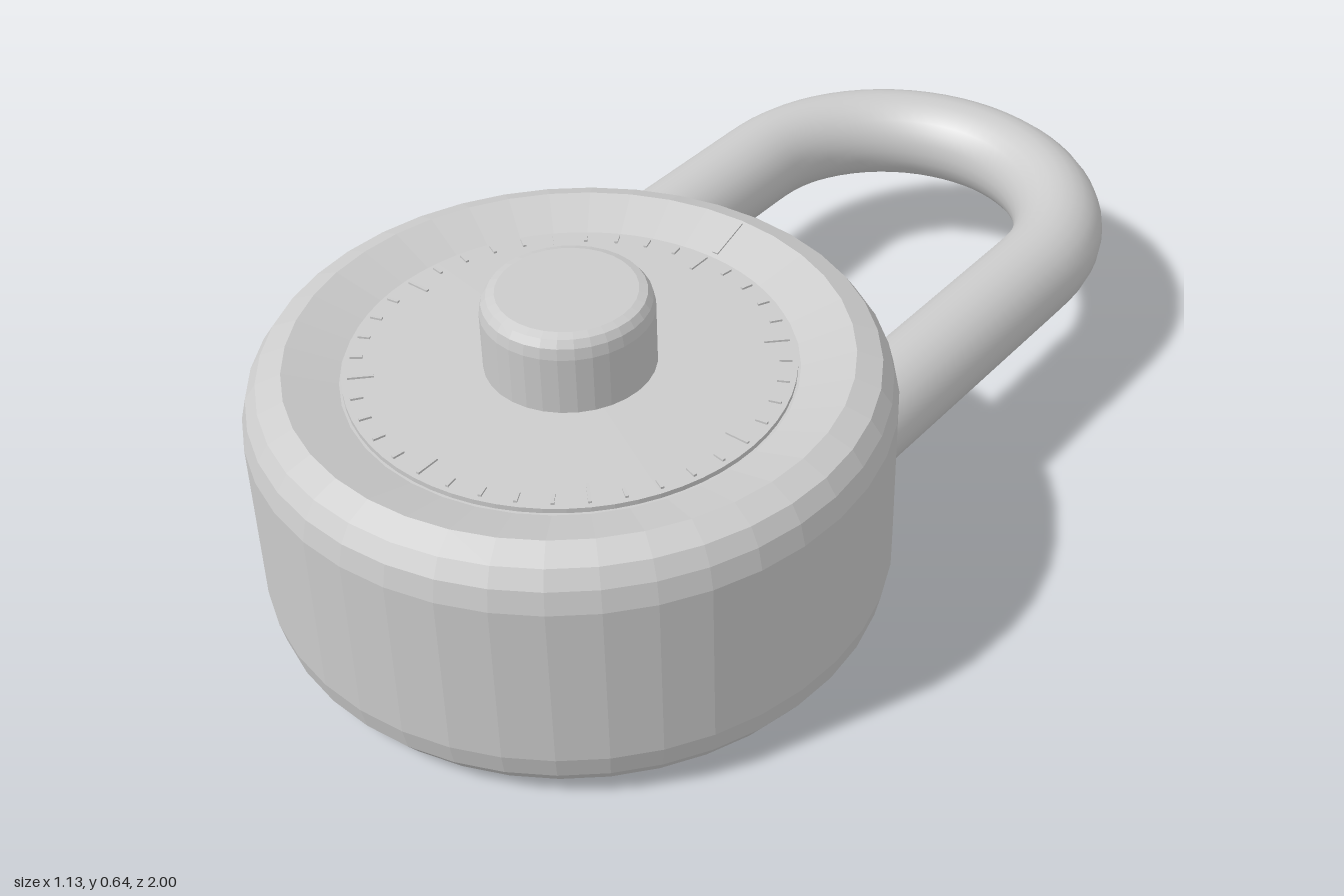
import * as THREE from 'three';

const flat = new THREE.MeshStandardMaterial({ color: 0xcccccc, flatShading: true });
const smooth = new THREE.MeshStandardMaterial({ color: 0xcccccc });

function addMesh(parent, name, geometry, material) {
  const mesh = new THREE.Mesh(geometry, material);
  mesh.name = name;
  parent.add(mesh);
  return mesh;
}

function lathe(points, segments) {
  return new THREE.LatheGeometry(points.map(([r, y]) => new THREE.Vector2(r, y)), segments);
}

export function createModel() {
  const model = new THREE.Group();
  model.name = 'padlock';

  // Round case, knob and dial share one axis, leaning very slightly
  const body = new THREE.Group();
  body.name = 'lockBody';
  body.position.z = 0.43;
  body.rotation.x = 0.012;
  model.add(body);

  // Case with rounded edges and a shallow sloping recess on top
  addMesh(body, 'case', lathe([
    [0, 0.01], [0.48, 0.01], [0.53, 0.03], [0.555, 0.065], [0.565, 0.11],
    [0.565, 0.43], [0.555, 0.47], [0.535, 0.5], [0.49, 0.518],
    [0.395, 0.486], [0, 0.486],
  ], 40), flat);

  // Dial plate
  addMesh(body, 'dial', lathe([[0.39, 0.48], [0.39, 0.495], [0, 0.498]], 64), flat);

  // Knob
  addMesh(body, 'knob', lathe([
    [0.15, 0.49], [0.15, 0.605], [0.146, 0.625], [0.137, 0.638], [0.122, 0.643], [0, 0.643],
  ], 32), flat);

  // Graduation marks, longer at every fifth
  const marks = new THREE.Group();
  marks.name = 'dialMarks';
  body.add(marks);
  for (let i = 0; i < 40; i++) {
    const length = i % 5 === 0 ? 0.045 : 0.022;
    const angle = (i / 40) * Math.PI * 2;
    const radius = 0.38 - length / 2;
    const mark = addMesh(marks, 'dialMark', new THREE.BoxGeometry(0.006, 0.004, length), flat);
    mark.position.set(Math.sin(angle) * radius, 0.497, -Math.cos(angle) * radius);
    mark.rotation.y = -angle;
  }

  // Index mark on the sloping ring
  const index = addMesh(body, 'indexMark', new THREE.BoxGeometry(0.012, 0.004, 0.08), flat);
  index.position.set(0, 0.504, -0.445);
  index.rotation.x = Math.atan2(0.032, 0.095);

  // Shackle: two straight legs joined by a half circle
  const arm = 0.34, bendZ = -0.57, endZ = 0.2, y = 0.27;
  const path = new THREE.CurvePath();
  const arc = [];
  for (let i = 0; i <= 24; i++) {
    const a = (i / 24) * Math.PI;
    arc.push(new THREE.Vector3(Math.cos(a) * arm, y, bendZ - Math.sin(a) * arm));
  }
  path.add(new THREE.LineCurve3(new THREE.Vector3(arm, y, endZ), arc[0]));
  path.add(new THREE.CatmullRomCurve3(arc));
  path.add(new THREE.LineCurve3(arc[24], new THREE.Vector3(-arm, y, endZ)));
  addMesh(model, 'shackle', new THREE.TubeGeometry(path, 80, 0.09, 24), smooth);

  return model;
}
